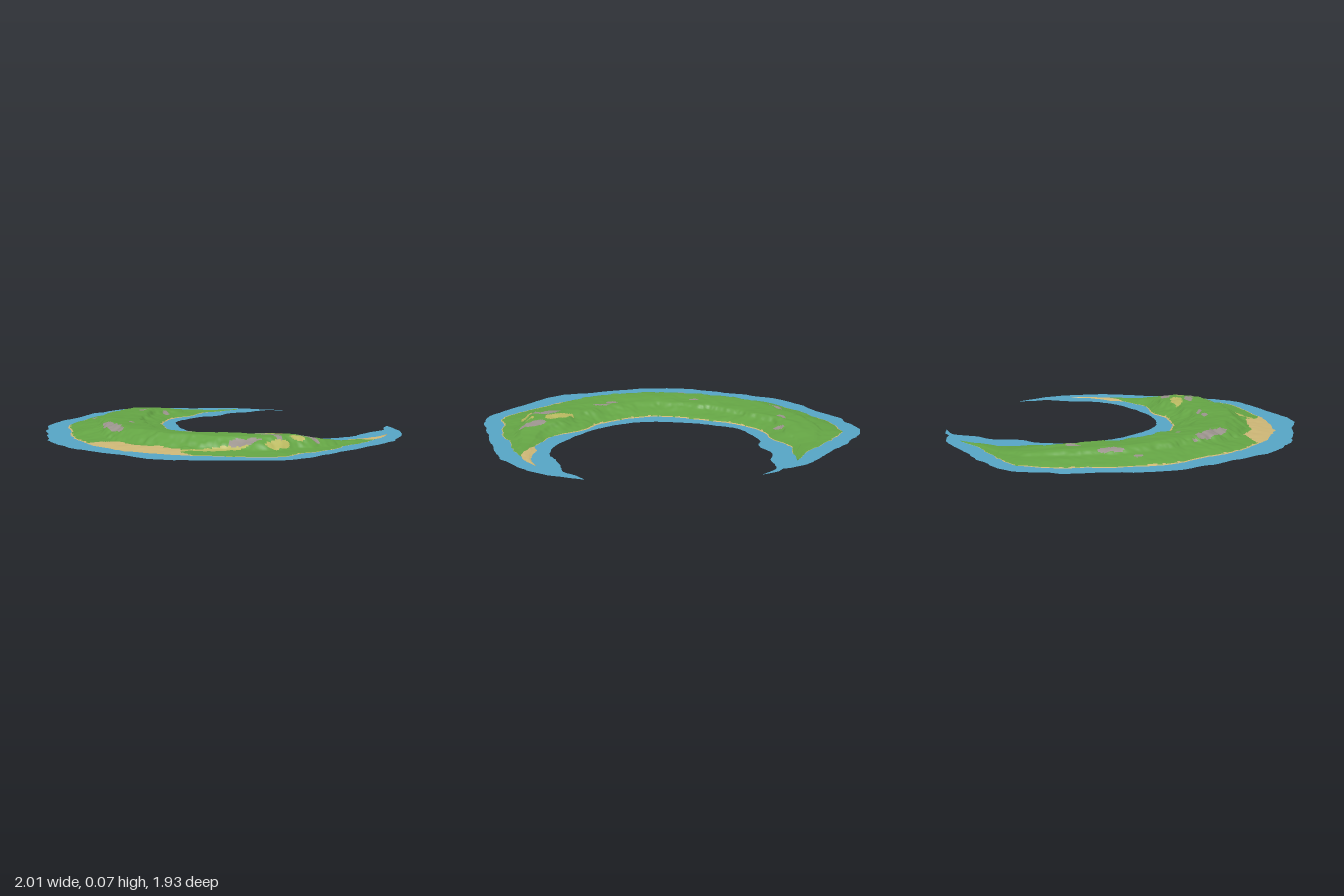
import * as THREE from 'three';

const NU = 420, NV = 64;

const mat = (name, color) => {
  const m = new THREE.MeshStandardMaterial({ color, side: THREE.DoubleSide });
  m.name = name;
  return m;
};

// Smooth value noise in the range -1..1
const hash = (i, j) => {
  const s = Math.sin(i * 127.1 + j * 311.7) * 43758.5453;
  return (s - Math.floor(s)) * 2 - 1;
};
function noise(x, y) {
  const i = Math.floor(x), j = Math.floor(y);
  let a = x - i, b = y - j;
  a = a * a * (3 - 2 * a);
  b = b * b * (3 - 2 * b);
  const mix = THREE.MathUtils.lerp;
  return mix(mix(hash(i, j), hash(i + 1, j), a), mix(hash(i, j + 1), hash(i + 1, j + 1), a), b);
}

const curve = (pts) => new THREE.CatmullRomCurve3(pts.map(([x, z]) => new THREE.Vector3(x, 0, z)));

// Shore stations from the north-west tip round to the north-east tip
const outerShore = curve([
  [-.35, -.84], [-.48, -.73], [-.69, -.6], [-.85, -.48], [-.89, -.26], [-.86, .03], [-.8, .27],
  [-.66, .43], [-.54, .57], [-.4, .68], [-.22, .78], [0, .83], [.25, .81], [.46, .73],
  [.74, .59], [.8, .4], [.86, .22], [.87, .05], [.9, -.1], [.9, -.24], [.88, -.37]]);
const innerShore = curve([
  [-.35, -.84], [-.4, -.71], [-.45, -.6], [-.43, -.45], [-.45, -.24], [-.38, -.08], [-.29, .04],
  [-.24, .1], [-.19, .16], [-.13, .21], [-.05, .25], [.08, .27], [.2, .26], [.3, .23],
  [.41, .15], [.53, .13], [.64, .09], [.75, -.02], [.8, -.13], [.86, -.24], [.88, -.37]]);

// Edge of the shallows, outer side then inner side
const outerWater = curve([
  [-.07, -.97], [-.17, -.96], [-.22, -.93], [-.35, -.92], [-.56, -.8], [-.82, -.63], [-.96, -.5],
  [-.98, -.34], [-1, -.18], [-.96, -.01], [-.95, .16], [-.88, .35], [-.77, .5], [-.64, .64],
  [-.5, .79], [-.34, .88], [-.18, .92], [.09, .94], [.27, .96], [.46, .87], [.65, .76], [.82, .64],
  [.89, .46], [.92, .3], [.97, .08], [1, -.18], [.95, -.4], [.89, -.52], [.74, -.68]]);
const innerWater = curve([
  [.74, -.68], [.76, -.58], [.79, -.52], [.76, -.4], [.75, -.21], [.66, -.07], [.54, .03], [.35, .14],
  [.19, .18], [.03, .16], [-.13, .08], [-.26, -.05], [-.36, -.18], [-.36, -.42], [-.3, -.53],
  [-.3, -.66], [-.22, -.8], [-.19, -.91], [-.07, -.97]]);

// Curve samples with a ragged coastline
function coast(c, n, amp) {
  return c.getPoints(n).map((p, i) => {
    const fade = Math.min(1, i / 15, (n - i) / 15) * amp;
    const { x, z } = p;
    p.x += fade * (noise(x * 17, z * 17) + .5 * noise(x * 45 + 9, z * 45));
    p.z += fade * (noise(x * 17 + 50, z * 17) + .5 * noise(x * 45, z * 45 + 70));
    return p;
  });
}

// Linear look-up in a list of [position, value]
function table(list, t) {
  for (let i = 1; i < list.length; i++) {
    const [a, va] = list[i - 1], [b, vb] = list[i];
    if (t <= b) return va + (vb - va) * (t - a) / (b - a);
  }
  return list[list.length - 1][1];
}
const LENGTHWISE = [[0, .05], [1, .08], [2, .16], [3, .45], [4, .78], [5, .88], [6, .92], [7, 1],
  [14, 1], [15, .9], [16, .5], [17, .16], [18, .08], [20, .05]];
const HILL = [[0, 0], [.06, .012], [.2, .03], [.3, .037], [.36, .06], [.42, .068], [.56, .064],
  [.74, .054], [.78, .034], [.9, .02], [.96, .01], [1, 0]];
const LOWLAND = [[0, 0], [.1, .006], [.24, .012], [.32, .04], [.42, .069], [.6, .066],
  [.76, .055], [.82, .036], [.92, .015], [1, 0]];

function height(s, v, x, z) {
  const rim = Math.min(1, v * 8, (1 - v) * 8);
  const w = THREE.MathUtils.clamp(
    v + rim * (.035 * noise(x * 14, z * 14) + .018 * noise(x * 40, z * 40)), 0, 1);
  const flat = THREE.MathUtils.smoothstep(s, 7.5, 9.5);
  const base = THREE.MathUtils.lerp(table(HILL, w), table(LOWLAND, w), flat);
  // narrow crest on the north-west arm
  const crest = .014 * Math.exp(-(((w - .55 - (s - 3) * .12) / .06) ** 2)) * Math.exp(-(((s - 3.8) / 1) ** 2));
  const rough = rim * (.003 * noise(x * 11 + 5, z * 11) + .0015 * noise(x * 33, z * 33));
  return Math.max(0, Math.min(.073, (base + crest + rough) * table(LENGTHWISE, s)));
}

// Patches: x, z, half length, half width, turn
const ROCKS = [[.69, .22, .08, .03, -.1], [.55, .36, .07, .022, -.1], [.13, .45, .035, .016, 0],
  [.21, .42, .045, .01, .1], [-.7, -.03, .075, .022, 1.5], [-.62, -.22, .04, .018, 1.6],
  [-.54, -.33, .03, .02, .8], [-.33, .48, .15, .028, .62], [.5, .52, .09, .026, -.55],
  [-.73, .12, .025, .014, 1], [.62, .38, .03, .02, .5], [-.33, .31, .03, .01, .6]];
const DRY = [[.52, .29, .085, .036, -.15], [.65, .44, .07, .026, -1], [.4, .63, .16, .022, -.6],
  [.69, .3, .04, .018, -.6]];
const inPatch = (list, x, z) => list.some(([cx, cz, a, b, t]) => {
  const dx = x - cx, dz = z - cz, c = Math.cos(t), s = Math.sin(t);
  const r = ((dx * c + dz * s) / a) ** 2 + ((dz * c - dx * s) / b) ** 2;
  return r < 1 + .5 * noise(x * 30, z * 30);
});

function groundKind(s, v, x, z) {
  const n = noise(x * 12, z * 12), fine = noise(x * 40, z * 40);
  const southBeach = x > -.3 && x < .42 &&
    z > table([[-.3, .72], [-.16, .66], [-.03, .71], [.1, .69], [.24, .69], [.29, .75], [.42, .77]], x);
  const eastSpit = s + (v - .5) * 1.6 + n * .15 > 17.9;
  const strip = .017 + .012 * fine;
  if (southBeach || eastSpit || v < strip || v > 1 - strip) return 'sand';
  if (inPatch(ROCKS, x, z)) return 'rock';
  if (inPatch(DRY, x, z)) return 'dryGrass';
  return 'grass';
}

export function createModel() {
  const island = new THREE.Group();
  island.name = 'crescentIsland';
  const materials = {
    grass: mat('grass green', 0x64a444),
    sand: mat('beach sand', 0xcdb676),
    rock: mat('bare rock', 0x9a928c),
    dryGrass: mat('dry grass', 0xb9b860),
  };
  const outer = coast(outerShore, NU, .009), inner = coast(innerShore, NU, .007);

  // Land surface: a grid across the crescent
  const pos = [], index = [], kinds = { grass: [], sand: [], rock: [], dryGrass: [] };
  for (let i = 0; i <= NU; i++) {
    for (let j = 0; j <= NV; j++) {
      const v = j / NV, p = outer[i].clone().lerp(inner[i], v);
      pos.push(p.x, height(i / NU * 20, v, p.x, p.z), p.z);
    }
  }
  for (let i = 0; i < NU; i++) {
    for (let j = 0; j < NV; j++) {
      const a = i * (NV + 1) + j, b = a + NV + 1;
      const quad = [a, b, a + 1, a + 1, b, b + 1];
      const kind = groundKind((i + .5) / NU * 20, (j + .5) / NV,
        (pos[a * 3] + pos[b * 3 + 3]) / 2, (pos[a * 3 + 2] + pos[b * 3 + 5]) / 2);
      kinds[kind].push(...quad);
      index.push(...quad);
    }
  }
  const land = new THREE.BufferGeometry();
  land.setAttribute('position', new THREE.Float32BufferAttribute(pos, 3));
  land.setIndex(index);
  land.computeVertexNormals();

  // One mesh per ground cover, sharing the same smooth surface
  for (const kind in kinds) {
    const geo = new THREE.BufferGeometry();
    geo.setAttribute('position', land.attributes.position);
    geo.setAttribute('normal', land.attributes.normal);
    geo.setIndex(kinds[kind]);
    const mesh = new THREE.Mesh(geo, materials[kind]);
    mesh.name = kind;
    island.add(mesh);
  }

  // Shallow water: a flat sheet cut out around the land
  const flat = (pts) => pts.map((p) => new THREE.Vector2(p.x, -p.z));
  const sheet = new THREE.Shape(flat([...coast(outerWater, 240, .009), ...coast(innerWater, 180, .007).slice(1, -1)]));
  sheet.holes.push(new THREE.Path(flat([...outer, ...inner.slice(1, -1).reverse()])));
  const water = new THREE.Mesh(new THREE.ShapeGeometry(sheet).rotateX(-Math.PI / 2), mat('shallow water blue', 0x56a5c6));
  water.name = 'shallowWater';
  island.add(water);
  return island;
}
